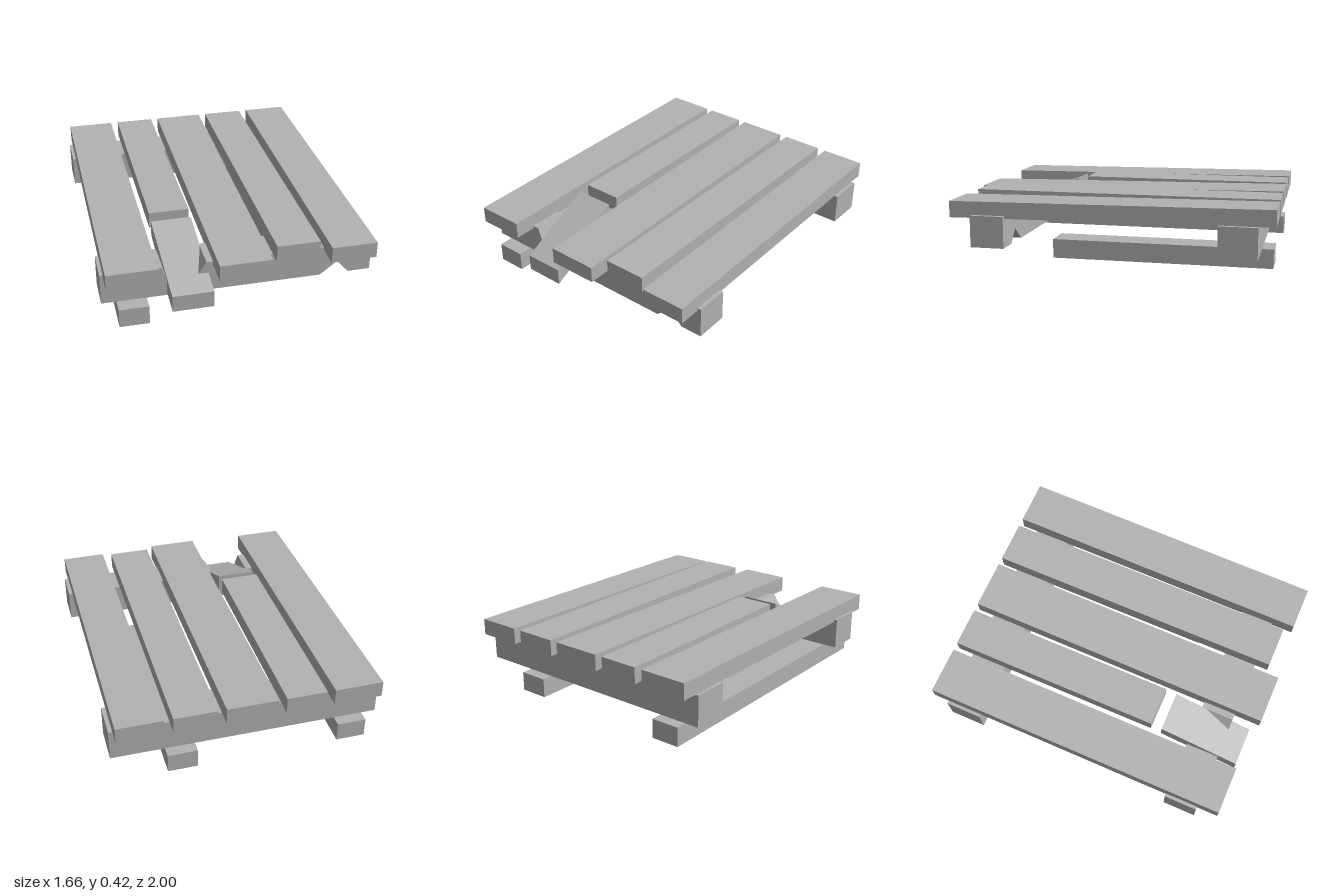
import * as THREE from 'three';

const wood = new THREE.MeshStandardMaterial({ color: 0xb2b2b2 });
wood.name = 'grey wood';

// Straight board between a back and a front rectangle, each { x0, x1, y0, y1, z }
function board(name, back, front) {
  const geo = new THREE.BoxGeometry(1, 1, 1);
  const p = geo.attributes.position;
  for (let i = 0; i < p.count; i++) {
    const end = p.getZ(i) > 0 ? front : back;
    p.setXYZ(i,
      p.getX(i) > 0 ? end.x1 : end.x0,
      p.getY(i) > 0 ? end.y1 : end.y0,
      end.z);
  }
  geo.computeVertexNormals();
  const mesh = new THREE.Mesh(geo, wood);
  mesh.name = name;
  return mesh;
}

// Cross beam extruded along z from an outline in x and y
function beam(name, points, z0, z1) {
  const shape = new THREE.Shape(points.map(([x, y]) => new THREE.Vector2(x, y)));
  const geo = new THREE.ExtrudeGeometry(shape, { depth: z1 - z0, bevelEnabled: false });
  geo.translate(0, 0, z0);
  const mesh = new THREE.Mesh(geo, wood);
  mesh.name = name;
  return mesh;
}

export function createModel() {
  const group = new THREE.Group();
  group.name = 'brokenPallet';

  // Deck planks: x range, front z, front bottom and top (some sag to the front)
  const planks = [
    ['rightOuterPlank', -0.81, -0.51, 0.965, 0.295, 0.4],
    ['brokenPlank', -0.46, -0.21, 0.37, 0.315, 0.417],
    ['middlePlank', -0.16, 0.155, 1, 0.288, 0.39],
    ['leftInnerPlank', 0.205, 0.47, 0.915, 0.315, 0.417],
    ['leftOuterPlank', 0.525, 0.805, 0.97, 0.295, 0.396],
  ];
  for (const [name, x0, x1, z, y0, y1] of planks) {
    group.add(board(name,
      { x0, x1, y0: 0.315, y1: 0.417, z: -1 },
      { x0, x1, y0, y1, z }));
  }

  // Snapped-off plank end, tipped down through the front beam
  group.add(board('snappedPlankEnd',
    { x0: -0.46, x1: -0.21, y0: 0.298, y1: 0.4, z: 0.44 },
    { x0: -0.43, x1: -0.18, y0: 0.085, y1: 0.19, z: 0.955 }));

  // Cross beams; the front one is splintered above and chipped below
  const chip = [[0.51, 0.12], [0.615, 0.203], [0.69, 0.12]];
  const splinter = [[-0.2, 0.315], [-0.25, 0.24], [-0.32, 0.17], [-0.43, 0.205], [-0.465, 0.315]];
  group.add(beam('frontBeam',
    [[-0.83, 0.12], ...chip, [0.83, 0.12], [0.83, 0.315], ...splinter, [-0.83, 0.315]], 0.62, 0.83));
  group.add(beam('backBeam',
    [[-0.83, 0.12], [0.83, 0.12], [0.83, 0.315], [-0.83, 0.315]], -0.9, -0.67));

  // Ground skids; the left one is broken short
  for (const [name, x0, x1, z] of [['rightSkid', -0.74, -0.56, 0.92], ['leftSkid', 0.32, 0.503, 0.41]]) {
    group.add(board(name,
      { x0, x1, y0: 0, y1: 0.12, z: -0.97 },
      { x0, x1, y0: 0, y1: 0.12, z }));
  }
  return group;
}
